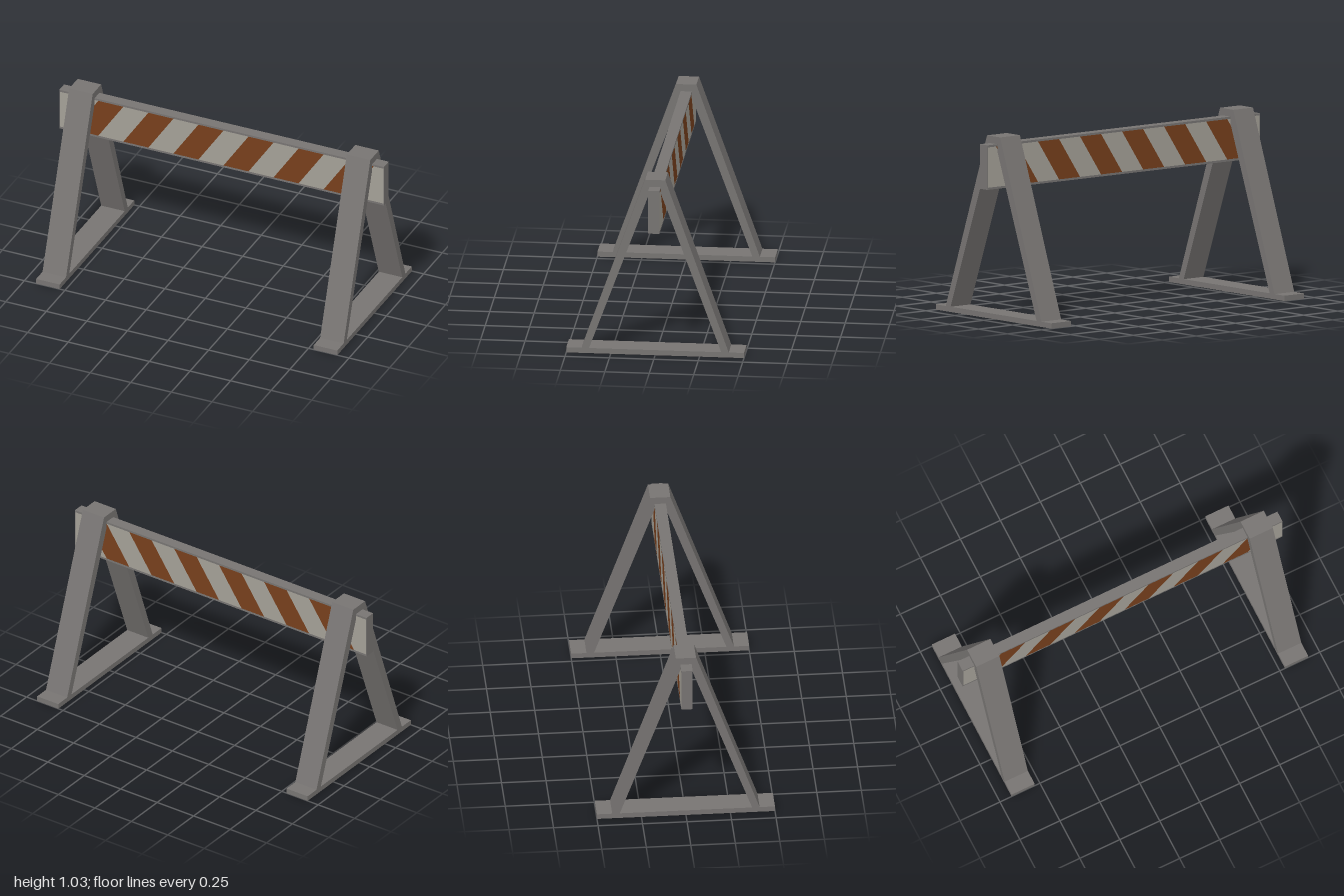
import * as THREE from 'three';

const paint = (color) => new THREE.MeshStandardMaterial({ color, flatShading: true });
const frameGrey = paint(0x777472);
const paleGrey = paint(0xa4a097);
const orange = paint(0x773f1c);

function add(parent, name, geometry, material, x = 0, y = 0, z = 0) {
  const mesh = new THREE.Mesh(geometry, material);
  mesh.name = name;
  mesh.position.set(x, y, z);
  parent.add(mesh);
}

// Prism with the given outline, centred on z = 0
function prism(points, depth) {
  const shape = new THREE.Shape(points.map(([x, y]) => new THREE.Vector2(x, y)));
  return new THREE.ExtrudeGeometry(shape, { depth, bevelEnabled: false }).translate(0, 0, -depth / 2);
}

// A-shaped trestle with a slot for the board, on a flat foot
function createTrestle() {
  const trestle = new THREE.Group();
  const width = 0.145;
  const half = [[0.057, 1.033], [0.414, 0.03], [0.372, 0.03], [0.032, 0.955], [0.032, 0.992]];
  const mirrored = half.map(([z, y]) => [-z, y]).reverse();
  add(trestle, 'legs', prism([...half, ...mirrored], width).rotateY(Math.PI / 2), frameGrey);
  add(trestle, 'foot', new THREE.BoxGeometry(width, 0.03, 1), frameGrey, 0, 0.015, 0);
  return trestle;
}

// Crossboard of alternating slanted bands, edged with thin rails and end caps
function createBoard() {
  const board = new THREE.Group();
  board.name = 'crossboard';
  const bottom = 0.74, top = 0.992, rail = 0.012, thickness = 0.064, cap = 0.004;
  const y0 = bottom + rail, y1 = top - rail, end = 1 - cap;

  for (const y of [bottom + rail / 2, top - rail / 2]) {
    add(board, 'edgeRail', new THREE.BoxGeometry(2, rail, thickness), frameGrey, 0, y, 0);
  }
  for (const side of [-1, 1]) {
    const geometry = new THREE.BoxGeometry(cap, y1 - y0, thickness);
    add(board, 'endCap', geometry, frameGrey, side * (1 - cap / 2), (y0 + y1) / 2, 0);
  }

  // Bands: each boundary slants one band width to the right as it rises
  const band = 0.1542, count = 11;
  const edges = [[-end, -end]];
  for (let i = 0; i <= count; i++) edges.push([-0.914 + i * band, -0.914 + (i + 1) * band]);
  edges.push([end, end]);
  for (let i = 0; i < edges.length - 1; i++) {
    const [a, b] = [edges[i], edges[i + 1]];
    const geometry = prism([[a[0], y0], [b[0], y0], [b[1], y1], [a[1], y1]], thickness - 0.001);
    if (i % 2) add(board, 'orangeBand', geometry, orange);
    else add(board, 'paleBand', geometry, paleGrey);
  }
  return board;
}

export function createModel() {
  const barrier = new THREE.Group();
  barrier.name = 'roadBarrier';
  for (const side of [-1, 1]) {
    const trestle = createTrestle();
    trestle.name = side > 0 ? 'leftTrestle' : 'rightTrestle';
    trestle.position.x = side * 0.855;
    barrier.add(trestle);
  }
  barrier.add(createBoard());
  return barrier;
}
